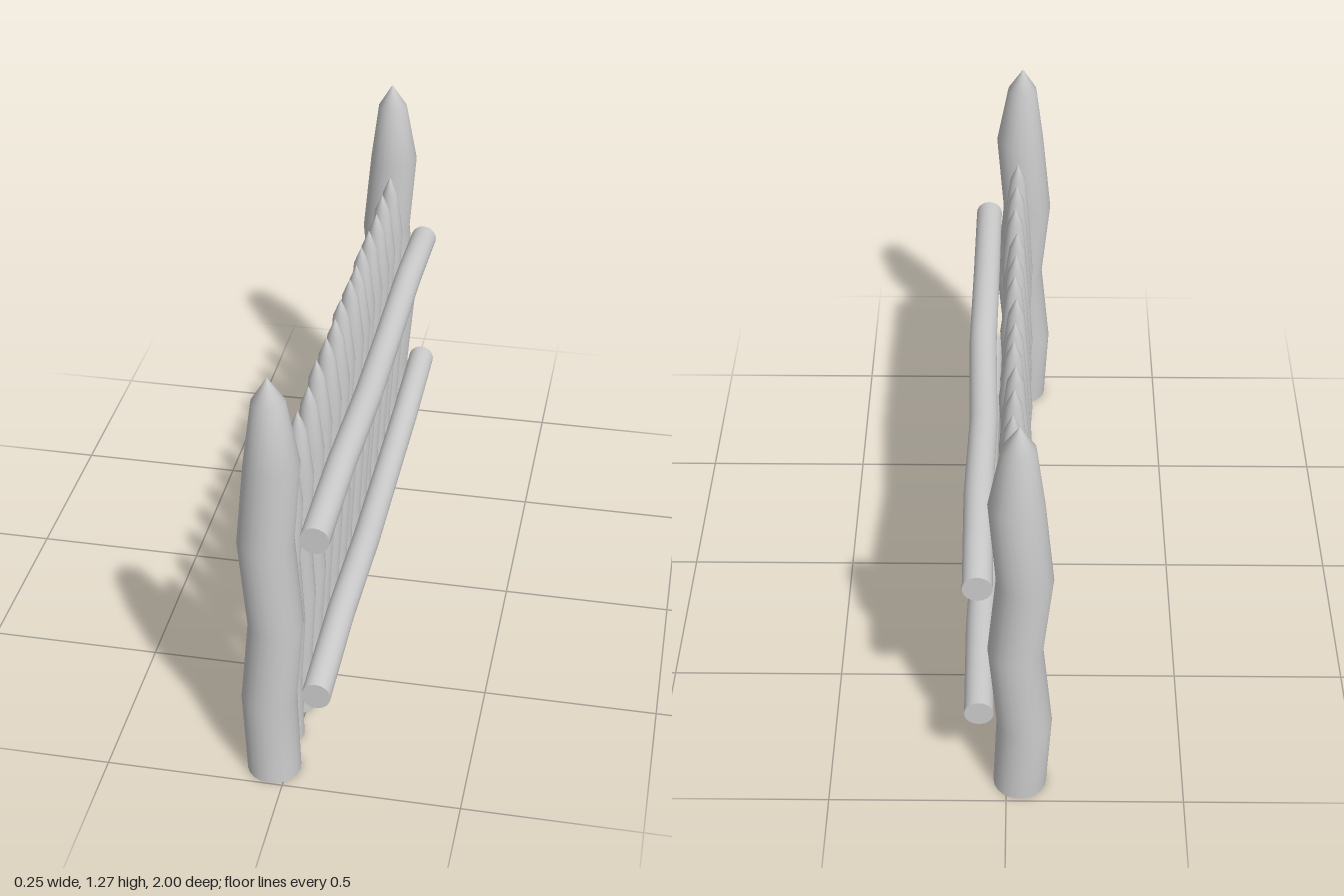
import * as THREE from 'three';

const material = new THREE.MeshStandardMaterial({ color: 0xcccccc, side: THREE.DoubleSide });
const SIDES = 20;

// Skin a row of rings; place(ring, cos, sin) returns a point on the ring
function loft(rings, place, name) {
  const positions = [], indices = [];
  rings.forEach((ring) => {
    for (let s = 0; s < SIDES; s++) {
      const a = (s / SIDES) * Math.PI * 2;
      positions.push(...place(ring, Math.cos(a), Math.sin(a)));
    }
  });
  for (let i = 0; i < rings.length - 1; i++) {
    for (let s = 0; s < SIDES; s++) {
      const a = i * SIDES + s, b = i * SIDES + ((s + 1) % SIDES);
      indices.push(a, a + SIDES, b, b, a + SIDES, b + SIDES);
    }
  }
  const geometry = new THREE.BufferGeometry();
  geometry.setAttribute('position', new THREE.Float32BufferAttribute(positions, 3));
  geometry.setIndex(indices);
  geometry.computeVertexNormals();
  const mesh = new THREE.Mesh(geometry, material);
  mesh.name = name;
  return mesh;
}

// Wavy pointed log, open at the foot: [height, sway x, sway z, radius]
const STAKE = [
  [0, -0.003, 0.001, 0.075],
  [0.25, -0.015, -0.006, 0.077],
  [0.51, 0.01, 0.004, 0.076],
  [0.77, -0.015, -0.006, 0.077],
  [1.02, 0.008, 0.003, 0.075],
  [1.205, 0.002, 0, 0.045],
  [1.275, 0, 0, 0],
];

function stake(name, x, z, thickness, height) {
  const mesh = loft(STAKE, ([y, dx, dz, r], c, s) => [dx + r * c, y, dz + r * s], name);
  mesh.scale.set(thickness, height, thickness);
  mesh.position.set(x, 0, z);
  return mesh;
}

// Bent horizontal rail with flat ends: [x, y, z] centre points
const RAIL_RADIUS = 0.041;
function rail(name, points) {
  const group = new THREE.Group();
  group.name = name;
  group.add(loft(points, ([x, y, z], c, s) => [x + RAIL_RADIUS * c, y + RAIL_RADIUS * s, z], name + 'Log'));
  [points[0], points[points.length - 1]].forEach((p, i) => {
    const cap = new THREE.Mesh(new THREE.CircleGeometry(RAIL_RADIUS, SIDES), material);
    cap.name = name + 'End';
    cap.position.set(...p);
    if (i === 1) cap.rotation.y = Math.PI;
    group.add(cap);
  });
  return group;
}

export function createModel() {
  const model = new THREE.Group();
  model.name = 'palisadeFence';

  // Tall end posts
  model.add(stake('frontPost', -0.035, 0.921, 1, 1));
  model.add(stake('backPost', -0.035, -0.917, 1, 1));

  // Thin pickets between the posts
  const pickets = [0.78, 0.65, 0.52, 0.38, 0.255, 0.145, 0.03, -0.095, -0.185, -0.3, -0.41, -0.525, -0.662, -0.788];
  pickets.forEach((z, i) => {
    model.add(stake('picket' + (i + 1), -0.018 + (i % 3 - 1) * 0.003, z, 0.53, 0.792));
  });

  // Two rails along one side, sharing the same bends
  const railZ = [0.885, 0.53, 0.15, -0.21, -0.57, -0.922];
  const railX = [0.074, 0.076, 0.081, 0.073, 0.08, 0.076];
  const rails = {
    upperRail: [0.762, 0.772, 0.76, 0.732, 0.766, 0.733],
    lowerRail: [0.235, 0.263, 0.257, 0.229, 0.263, 0.268],
  };
  for (const [name, heights] of Object.entries(rails)) {
    model.add(rail(name, heights.map((y, i) => [railX[i], y, railZ[i]])));
  }
  // Rails run towards -z, so their skin already faces outward
  return model;
}
